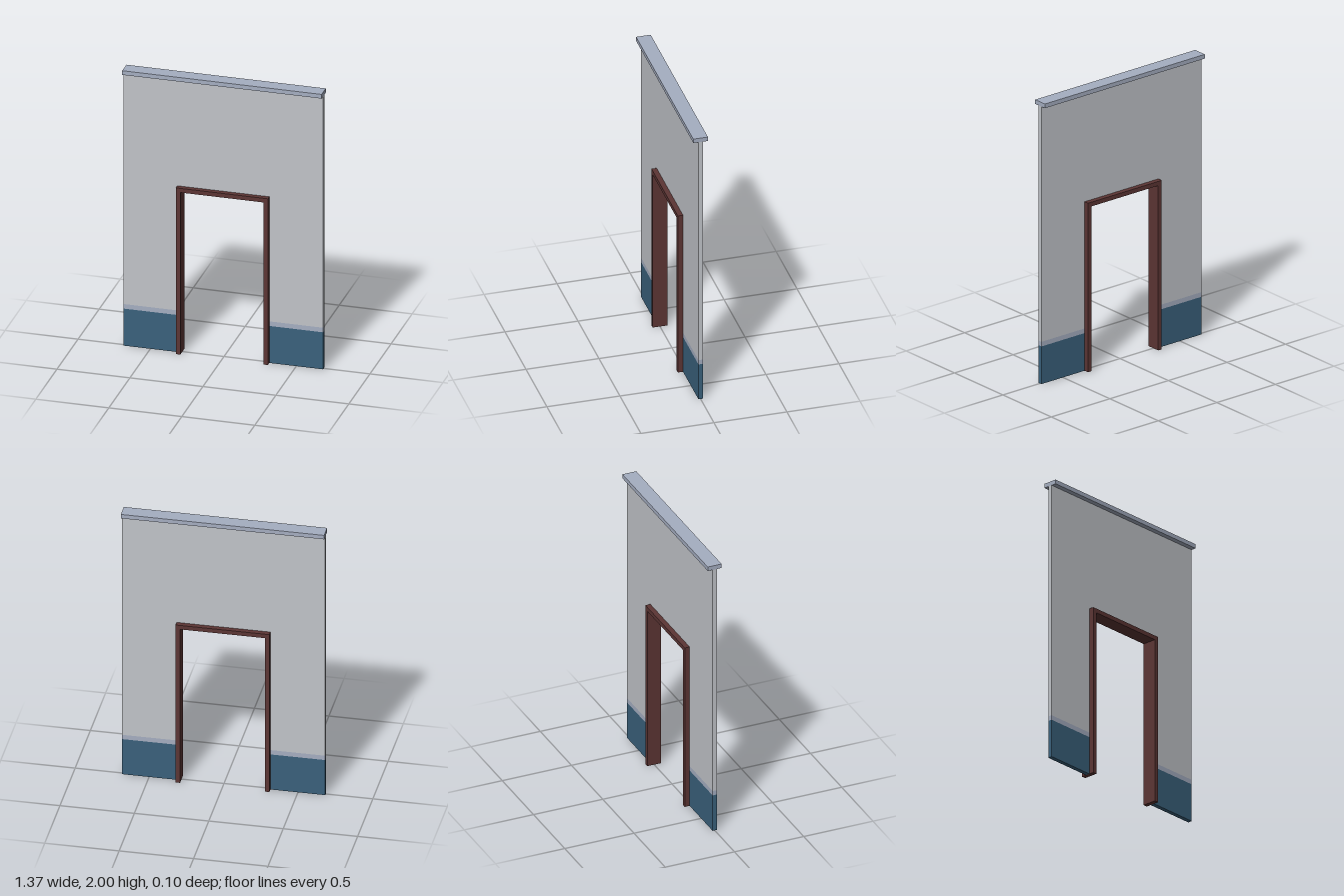
import * as THREE from 'three';

const material = (name, color) => {
  const m = new THREE.MeshStandardMaterial({ color });
  m.name = name;
  return m;
};

// Upside-down U outline: outer half width, inner half width, bottom, inner top, outer top
function archShape(outer, inner, bottom, innerTop, top) {
  return new THREE.Shape([
    [-outer, bottom], [-inner, bottom], [-inner, innerTop], [inner, innerTop],
    [inner, bottom], [outer, bottom], [outer, top], [-outer, top],
  ].map(([x, y]) => new THREE.Vector2(x, y)));
}

export function createModel() {
  const group = new THREE.Group();
  group.name = 'doorwayWall';

  const plaster = material('pale grey plaster', 0xc1c4c9);
  const trim = material('blue grey trim', 0xa5aec1);
  const paint = material('deep blue paint', 0x3a617c);
  const wood = material('dark red wood', 0x5c3534);

  const halfWidth = 0.683, wallDepth = 0.03, trimDepth = 0.1;
  const frameOuter = 0.315, frameInner = 0.285;
  const frameTop = 1.2, frameUnder = 1.17;
  const paintTop = 0.267, bandTop = 0.3, capBottom = 1.97;

  const add = (name, geometry, mat, x = 0, y = 0, z = 0) => {
    const mesh = new THREE.Mesh(geometry, mat);
    mesh.name = name;
    mesh.position.set(x, y, z);
    group.add(mesh);
  };
  const extrude = (shape, depth) =>
    new THREE.ExtrudeGeometry(shape, { depth, bevelEnabled: false }).translate(0, 0, -depth / 2);

  // Main wall around the opening
  add('wall', extrude(archShape(halfWidth, frameOuter, bandTop, frameTop, capBottom), wallDepth), plaster);

  // Painted skirting and the band above it, either side of the doorway
  const sideWidth = halfWidth - frameOuter;
  for (const [side, sign] of [['left', 1], ['right', -1]]) {
    const x = sign * (halfWidth + frameOuter) / 2;
    add(side + 'Skirting', new THREE.BoxGeometry(sideWidth, paintTop, wallDepth), paint, x, paintTop / 2);
    add(side + 'Band', new THREE.BoxGeometry(sideWidth, bandTop - paintTop, wallDepth), trim,
      x, (bandTop + paintTop) / 2);
  }

  // Door frame standing proud of both wall faces
  add('doorFrame', extrude(archShape(frameOuter, frameInner, 0, frameUnder, frameTop), trimDepth), wood);

  // Cap rail along the top
  add('topRail', new THREE.BoxGeometry(halfWidth * 2, 2 - capBottom, trimDepth), trim, 0, (2 + capBottom) / 2);

  return group;
}
